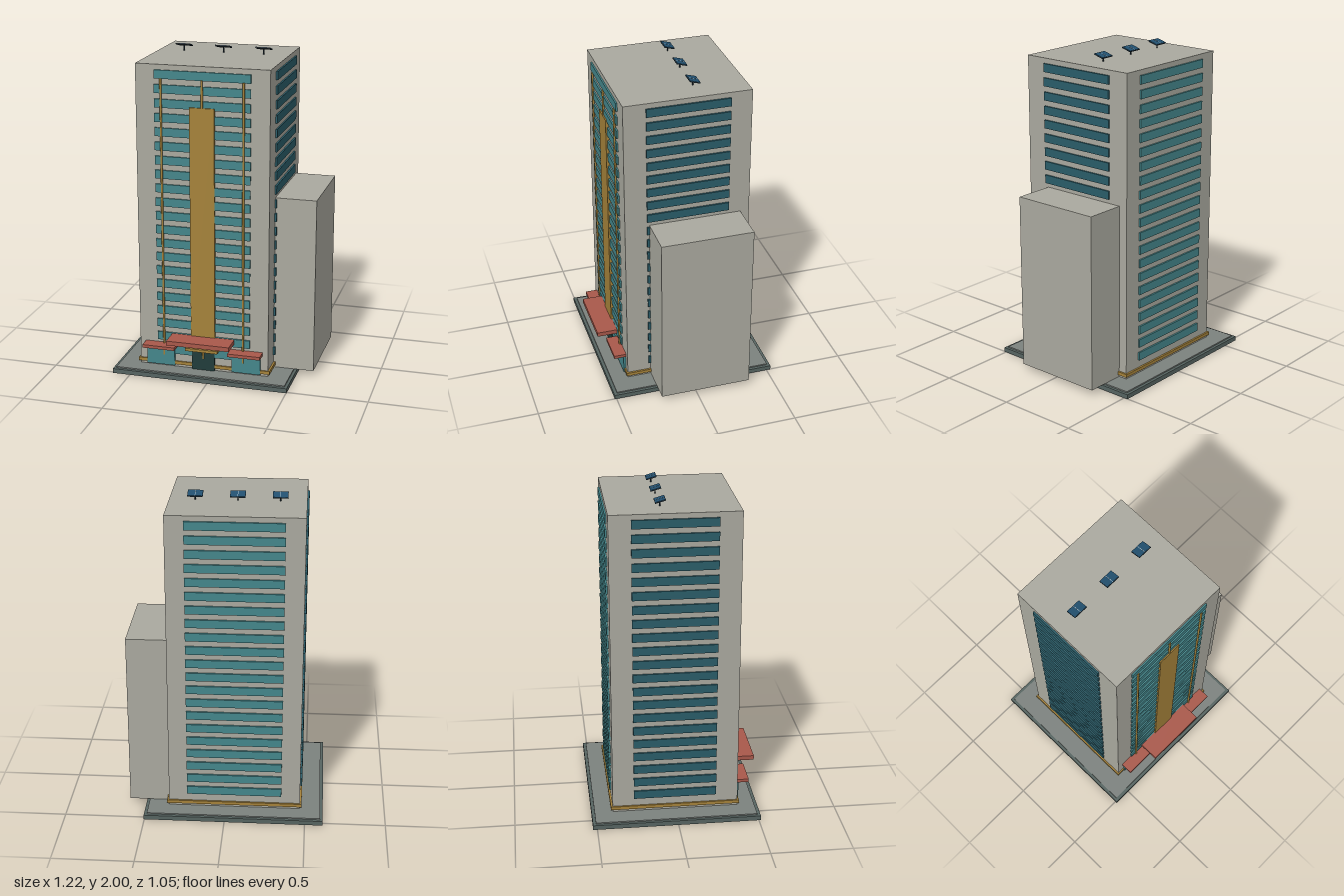
import * as THREE from 'three';

const mat = (color) => new THREE.MeshStandardMaterial({ color });

export function createModel() {
  const model = new THREE.Group();
  const M = {
    wall: mat(0xaaa99f), glass: mat(0x44868b), sideGlass: mat(0x2a5d69),
    gold: mat(0xa5823a), red: mat(0xa8584a), door: mat(0x203c3a),
    plinth: mat(0x566461), paving: mat(0x7c827e),
    solar: mat(0x22506f), metal: mat(0x20303a), seam: mat(0xa9bcc8),
  };

  // box given by its extents on each axis
  function block(name, material, [x0, x1], [y0, y1], [z0, z1], parent = model) {
    const mesh = new THREE.Mesh(new THREE.BoxGeometry(x1 - x0, y1 - y0, z1 - z0), material);
    mesh.position.set((x0 + x1) / 2, (y0 + y1) / 2, (z0 + z1) / 2);
    mesh.name = name;
    parent.add(mesh);
    return mesh;
  }

  // ground slab, tower and side annex
  block('plinth', M.plinth, [-0.612, 0.503], [0, 0.029], [-0.526, 0.512]);
  block('paving', M.paving, [-0.594, 0.485], [0.02, 0.037], [-0.507, 0.492]);
  block('tower', M.wall, [-0.467, 0.356], [0.036, 1.95], [-0.394, 0.386]);
  block('annex', M.wall, [0.35, 0.61], [0.038, 1.143], [-0.338, 0.235]);
  block('baseBand', M.gold, [-0.478, 0.368], [0.053, 0.074], [-0.406, 0.395]);

  // window strips on all four faces
  const windows = new THREE.Group();
  windows.name = 'windows';
  model.add(windows);
  for (let i = 0; i < 21; i++) {
    const top = 1.918 - i * 0.0871;
    const y = [top - 0.052, top];
    block('frontWindow', M.glass, [-0.35, 0.241], y, [0.37, 0.396], windows);
    block('backWindow', M.glass, [-0.35, 0.241], y, [-0.405, -0.38], windows);
    block('leftWindow', M.sideGlass, [0.34, 0.367], y, [-0.262, 0.25], windows);
    block('rightWindow', M.sideGlass, [-0.478, -0.45], y, [-0.262, 0.25], windows);
  }

  // front panel, door and shop windows
  block('frontPanel', M.gold, [-0.131, 0.022], [0.205, 1.705], [0.37, 0.404]);
  block('door', M.door, [-0.127, 0.017], [0.037, 0.21], [0.37, 0.399]);
  block('rightShopWindow', M.glass, [-0.42, -0.24], [0.046, 0.172], [0.37, 0.4]);
  block('leftShopWindow', M.glass, [0.128, 0.31], [0.046, 0.172], [0.37, 0.4]);

  // canopies
  block('mainCanopy', M.red, [-0.254, 0.144], [0.233, 0.261], [0.37, 0.525]);
  block('mainCanopyLip', M.red, [-0.197, 0.087], [0.222, 0.234], [0.37, 0.488]);
  block('doorCanopy', M.gold, [-0.16, 0.046], [0.171, 0.189], [0.37, 0.44]);
  block('rightCanopy', M.red, [-0.43, -0.224], [0.172, 0.192], [0.37, 0.463]);
  block('leftCanopy', M.red, [0.117, 0.322], [0.172, 0.192], [0.37, 0.463]);

  // vertical rods on the front, with a solar panel above each
  for (const x of [-0.308, -0.055, 0.199]) {
    const rod = new THREE.Mesh(new THREE.CylinderGeometry(0.007, 0.007, 1.755, 8), M.gold);
    rod.name = 'frontRod';
    rod.position.set(x, 0.991, 0.396);
    model.add(rod);

    const solar = new THREE.Group();
    solar.name = 'solarPanel';
    solar.position.set(x, 1.95, -0.08);
    const post = new THREE.Mesh(new THREE.CylinderGeometry(0.004, 0.004, 0.04, 8), M.metal);
    post.name = 'post';
    post.position.y = 0.02;
    const tray = new THREE.Group();
    tray.name = 'tray';
    tray.position.y = 0.038;
    tray.rotation.x = -0.28;
    block('frame', M.metal, [-0.046, 0.046], [-0.004, 0.002], [-0.033, 0.033], tray);
    block('cells', M.solar, [-0.045, 0.045], [0.001, 0.004], [-0.032, 0.032], tray);
    block('seam', M.seam, [-0.0015, 0.0015], [0.002, 0.005], [-0.032, 0.032], tray);
    solar.add(post, tray);
    model.add(solar);
  }
  return model;
}
